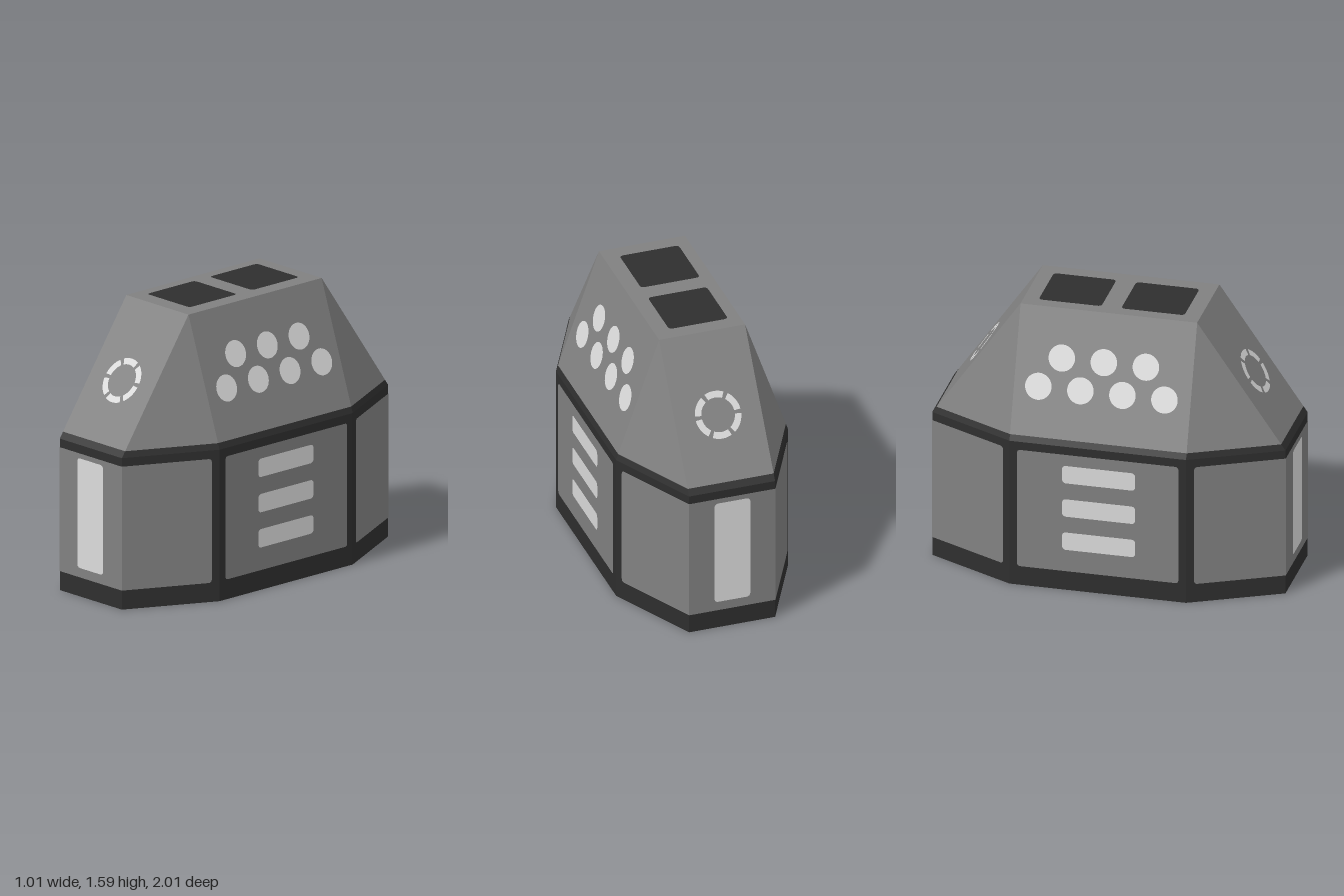
import * as THREE from 'three';

const mat = (name, color, side = THREE.FrontSide) => {
  const m = new THREE.MeshStandardMaterial({ color, side });
  m.name = name;
  return m;
};

const EAVE = 0.87, BAND = 0.905, TOP = 1.59;

// Eight-sided outline at height y: constant up to the eave, then tapering
function section(y) {
  const t = Math.max(0, (y - EAVE) / (TOP - EAVE));
  const w = 0.5 - 0.25 * t, d = 1 - 0.5 * t;
  return [[0.25, d], [w, 0.5], [w, -0.5], [0.25, -d], [-0.25, -d], [-w, -0.5], [-w, 0.5], [-0.25, d]]
    .map(([x, z]) => new THREE.Vector3(x, y, z));
}

// Flat-shaded skin through sections, with optional end caps
function loft(heights, capBottom, capTop) {
  const rings = heights.map(section), pts = [];
  const tri = (a, b, c) => {
    const area = b.clone().sub(a).cross(c.clone().sub(a)).length();
    if (area > 1e-6) pts.push(a, b, c);
  };
  for (let r = 0; r < rings.length - 1; r++) {
    for (let i = 0; i < 8; i++) {
      const j = (i + 1) % 8, lo = rings[r], hi = rings[r + 1];
      tri(lo[i], lo[j], hi[j]);
      tri(lo[i], hi[j], hi[i]);
    }
  }
  const first = rings[0], last = rings[rings.length - 1];
  for (let i = 1; i < 7; i++) {
    if (capBottom) tri(first[0], first[i + 1], first[i]);
    if (capTop) tri(last[0], last[i], last[i + 1]);
  }
  const g = new THREE.BufferGeometry().setFromPoints(pts);
  g.computeVertexNormals();
  return g;
}

// Rectangle with separate corner radii for its left and right ends
function rounded(x0, x1, y0, y1, rl, rr = rl) {
  const s = new THREE.Shape();
  s.moveTo(x0 + rl, y0);
  s.lineTo(x1 - rr, y0);
  if (rr) s.quadraticCurveTo(x1, y0, x1, y0 + rr);
  s.lineTo(x1, y1 - rr);
  if (rr) s.quadraticCurveTo(x1, y1, x1 - rr, y1);
  s.lineTo(x0 + rl, y1);
  if (rl) s.quadraticCurveTo(x0, y1, x0, y1 - rl);
  s.lineTo(x0, y0 + rl);
  if (rl) s.quadraticCurveTo(x0, y0, x0 + rl, y0);
  return s;
}

const disc = (x, y, r) => new THREE.Shape().absarc(x, y, r, 0, Math.PI * 2, false);

function arcPiece(x, y, inner, outer, a0, a1) {
  const s = new THREE.Shape();
  s.absarc(x, y, outer, a0, a1, false);
  s.absarc(x, y, inner, a1, a0, true);
  return s;
}

export function createModel() {
  const root = new THREE.Group();
  root.name = 'shelter';
  const grey = mat('grey panel', 0x808080);
  const dark = mat('dark frame', 0x2e2e2e);
  const light = mat('light marking', 0xdadada);

  const add = (parent, name, geo, material) => {
    const m = new THREE.Mesh(geo, material);
    m.name = name;
    parent.add(m);
    return m;
  };

  // Lays flat shapes on a face given a point on it, its normal and its horizontal axis
  const lay = (name, shapes, material, origin, normal, across, lift) => {
    const n = new THREE.Vector3(...normal).normalize();
    const u = new THREE.Vector3(...across).normalize();
    const v = n.clone().cross(u);
    const m = new THREE.Matrix4().makeBasis(u, v, n);
    m.setPosition(new THREE.Vector3(...origin).addScaledVector(n, lift));
    add(root, name, new THREE.ShapeGeometry(shapes, 20).applyMatrix4(m), material);
  };

  // Main shell
  add(root, 'frame', loft([0, EAVE, BAND], true, false), dark);
  add(root, 'roof', loft([BAND, TOP], false, true), grey);

  const P0 = 0.11, P1 = 0.822, H = TOP - EAVE, E = 0.0013;
  const endSlope = Math.hypot(0.5, H) / H, sideSlope = Math.hypot(0.25, H) / H;

  for (const s of [1, -1]) {
    // End wall: panel and tall light bar
    lay('endPanel', rounded(-0.25 - E, 0.25 + E, P0, P1, 0), grey, [0, 0, s], [0, 0, s], [s, 0, 0], 0.002);
    lay('endBar', rounded(-0.104, 0.104, 0.165, 0.795, 0.025), light, [0, 0, s], [0, 0, s], [s, 0, 0], 0.005);

    // Broken ring on the end slope
    const ring = [];
    for (let i = 0; i < 6; i++) {
      const a = Math.PI / 6 + i * Math.PI / 3;
      ring.push(arcPiece(0, 0.34 * endSlope, 0.096, 0.133, a - 0.43, a + 0.43));
    }
    lay('ringMark', ring, light, [0, EAVE, s], [0, 0.5, s * H], [s, 0, 0], 0.003);

    // Side wall: panel and three slots
    const sideAxis = [0, 0, -s];
    lay('sidePanel', rounded(-0.457, 0.457, P0 + 0.004, P1, 0.02), grey, [s * 0.5, 0, 0], [s, 0, 0], sideAxis, 0.002);
    const slots = [0.298, 0.5, 0.703].map(y => rounded(-0.207, 0.207, y - 0.053, y + 0.053, 0.025));
    lay('sideSlots', slots, light, [s * 0.5, 0, 0.006], [s, 0, 0], sideAxis, 0.005);

    // Two rows of round lights on the side slope
    const dots = [];
    for (const [y, zs] of [[1.33, [0.233, -0.005, -0.243]], [1.17, [0.352, 0.114, -0.124, -0.362]]]) {
      for (const z of zs) dots.push(disc(-s * z, (y - EAVE) * sideSlope, 0.075));
    }
    lay('roundLights', dots, light, [s * 0.5, EAVE, 0], [s * H, 0.25, 0], sideAxis, 0.003);

    // Diagonal corner panels, flush with the end panel
    for (const t of [1, -1]) {
      const half = Math.hypot(0.25, 0.5) / 2, far = half - 0.045;
      const shape = s * t > 0
        ? rounded(-half - E, far, P0, P1, 0, 0.02)
        : rounded(-far, half + E, P0, P1, 0.02, 0);
      lay('cornerPanel', shape, grey, [s * 0.375, 0, t * 0.75], [s * 2, 0, t], [t, 0, -s * 2], 0.002);
    }
  }

  // Roof hatches
  const hatches = [[-0.41, -0.052], [0.06, 0.415]].map(([a, b]) => rounded(-0.181, 0.162, a, b, 0.025));
  lay('roofHatches', hatches, dark, [0, TOP, 0], [0, 1, 0], [1, 0, 0], 0.003);

  return root;
}
